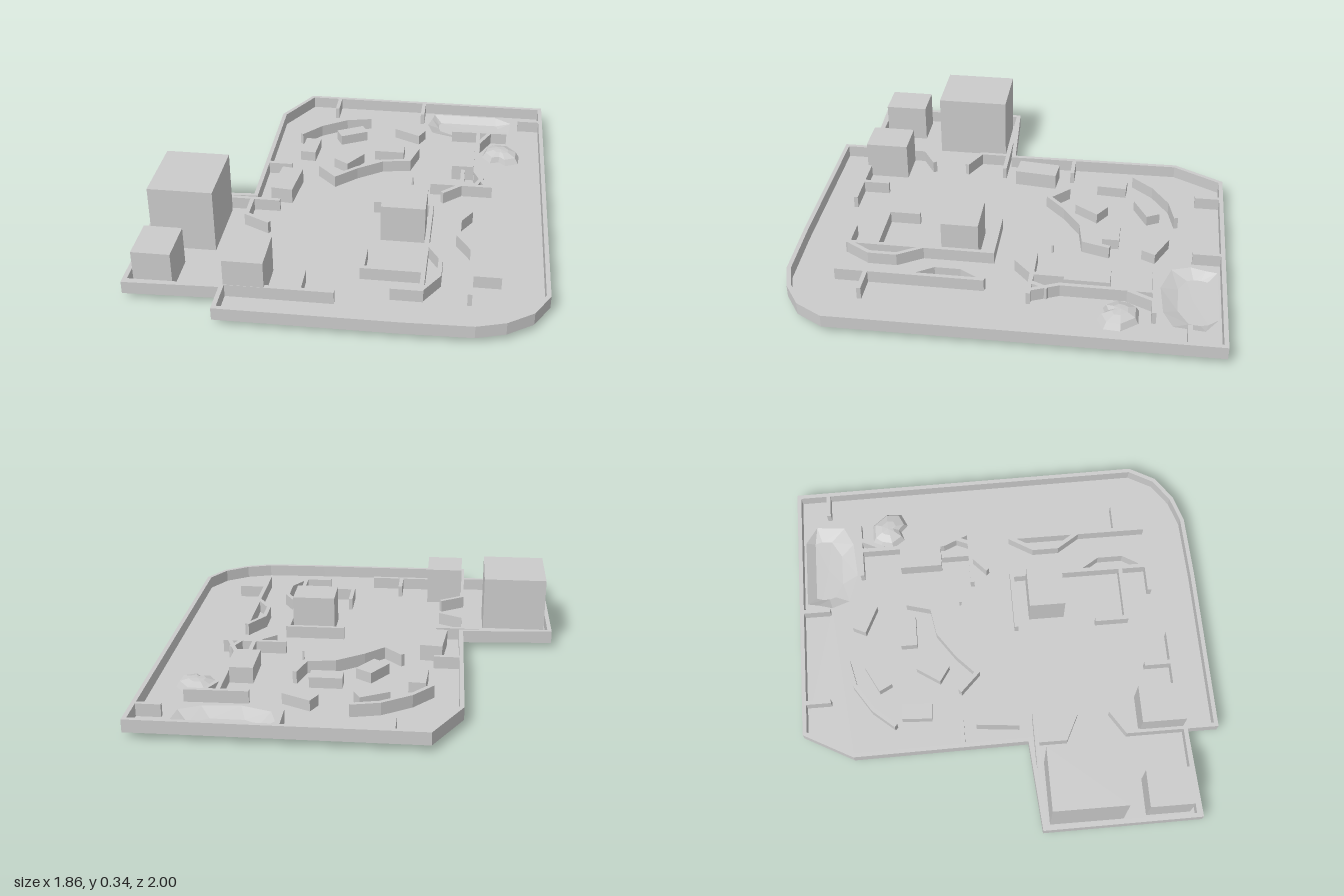
import * as THREE from 'three';

const FLOOR = 0.03, TOP = 0.09, THICK = 0.02;
const mat = new THREE.MeshStandardMaterial({ color: 0xcccccc, flatShading: true });
const sheetMat = new THREE.MeshStandardMaterial({ color: 0xcccccc, flatShading: true, side: THREE.DoubleSide });
const vecs = (pts) => pts.map(([x, z]) => new THREE.Vector2(x, z));

// Shift a plan polyline sideways with mitred corners
function offset(pts, d, closed) {
  const n = pts.length;
  const normal = (i) => {
    const a = pts[(i + n) % n], b = pts[(i + 1) % n];
    return new THREE.Vector2(a.y - b.y, b.x - a.x).normalize();
  };
  return pts.map((p, i) => {
    const n1 = normal(!closed && i === 0 ? 0 : i - 1);
    const n2 = normal(!closed && i === n - 1 ? n - 2 : i);
    return n1.clone().add(n2).multiplyScalar(d / (1 + n1.dot(n2))).add(p);
  });
}

// Raise a plan shape (x, z) from the floor up to the wall top
function raise(shape) {
  const g = new THREE.ExtrudeGeometry(shape, { depth: TOP - FLOOR, bevelEnabled: false });
  return g.rotateX(Math.PI / 2).translate(0, TOP, 0);
}

// Faceted relief: rings of equal point count, closed by a centre point
function relief(rings, centre) {
  const n = rings[0].length, pos = rings.flat(2).concat(centre), index = [];
  const last = rings.length - 1;
  for (let i = 0; i < n; i++) {
    const j = (i + 1) % n;
    for (let r = 0; r < last; r++) {
      const a = r * n + i, b = r * n + j;
      index.push(a, a + n, b, b, a + n, b + n);
    }
    index.push(last * n + i, rings.length * n, last * n + j);
  }
  const g = new THREE.BufferGeometry();
  g.setAttribute('position', new THREE.Float32BufferAttribute(pos, 3));
  g.setIndex(index);
  const flat = g.toNonIndexed();
  flat.computeVertexNormals();
  return flat;
}

export function createModel() {
  const model = new THREE.Group();
  const add = (name, geo, material = mat) => {
    const m = new THREE.Mesh(geo, material);
    m.name = name;
    model.add(m);
    return m;
  };

  // Site plan
  const outline = vecs([
    [-0.38, -1], [0.91, -1], [0.925, 0.74], [0.855, 0.865], [0.74, 0.945], [0.61, 0.985], [0.3, 0.995],
    [-0.5, 1], [-0.5, 0.85], [-0.93, 0.867], [-0.935, 0.11], [-0.5, 0.08], [-0.51, -0.76],
  ]);
  const pitRim = [
    [0.32, -0.968], [0.66, -0.968], [0.745, -0.91], [0.73, -0.77], [0.635, -0.725],
    [0.46, -0.71], [0.32, -0.757], [0.29, -0.845], [0.31, -0.915],
  ];
  const pitFloor = [
    [0.36, -0.925], [0.665, -0.925], [0.675, -0.89], [0.67, -0.84], [0.585, -0.79],
    [0.43, -0.79], [0.36, -0.83], [0.35, -0.86], [0.35, -0.895],
  ];
  const moundRim = [
    [0.64, -0.62], [0.73, -0.62], [0.79, -0.545], [0.785, -0.47], [0.72, -0.44],
    [0.685, -0.475], [0.64, -0.46], [0.597, -0.52], [0.61, -0.58],
  ];

  // Floor with openings for the pit and the mound
  const floorShape = new THREE.Shape(outline);
  floorShape.holes.push(new THREE.Path(vecs(pitRim)), new THREE.Path(vecs(moundRim)));
  add('floor', new THREE.ShapeGeometry(floorShape).rotateX(Math.PI / 2).translate(0, FLOOR, 0), sheetMat);

  const ring = (pts, y) => pts.map(([x, z]) => [x, y, z]);
  add('pit', relief([ring(pitRim, FLOOR), ring(pitFloor, 0.002)], [0.51, 0, -0.86]), sheetMat);

  const shrink = (s) => moundRim.map(([x, z]) => [0.692 + (x - 0.692) * s, -0.54 + (z + 0.54) * s]);
  add('mound', relief([ring(moundRim, FLOOR), ring(shrink(0.82), 0.058), ring(shrink(0.4), 0.072)],
    [0.69, 0.075, -0.54]), sheetMat);

  // Outer wall
  const border = new THREE.Shape(outline);
  border.holes.push(new THREE.Path(offset(outline, THICK, true)));
  add('outerWall', raise(border));

  // Inner walls, each a path in plan
  const walls = [
    // back rooms
    [[-0.22, -0.99], [-0.22, -0.86]],
    [[0.257, -0.99], [0.257, -0.85]],
    [[0.78, -0.84], [0.91, -0.84]],
    [[-0.5, -0.233], [-0.365, -0.233]],
    // curved screens
    [[-0.37, -0.55], [-0.28, -0.655], [-0.15, -0.74], [-0.02, -0.77]],
    [[-0.22, -0.23], [-0.13, -0.14], [-0.035, -0.23], [0.09, -0.317], [0.225, -0.34], [0.26, -0.465]],
    // right-hand partitions
    [[0.43, -0.68], [0.72, -0.685]],
    [[0.57, -0.68], [0.57, -0.26], [0.625, -0.13]],
    [[0.63, -0.68], [0.575, -0.565]],
    [[0.505, -0.275], [0.505, -0.13], [0.412, -0.045]],
    [[0.35, -0.127], [0.655, -0.127]],
    [[0.57, -0.13], [0.605, -0.21]],
    // centre room
    [[0.09, 0.074], [0.37, 0.074], [0.37, 0.76], [0.235, 0.76]],
    [[0.37, 0.4], [0.44, 0.515], [0.44, 0.645], [0.37, 0.76]],
    [[0.097, 0.47], [0.097, 0.625], [0.37, 0.625]],
    // left divider
    [[0.58, 0.08], [0.58, 0.77]],
    [[0.58, 0.08], [0.51, 0.195], [0.51, 0.32], [0.58, 0.43]],
    [[0.58, 0.625], [0.715, 0.625]],
    // annex
    [[-0.93, 0.12], [-0.365, 0.12]],
    [[-0.93, 0.847], [-0.5, 0.84]],
    [[-0.5, 0.12], [-0.5, 0.26], [-0.38, 0.32]],
    [[-0.38, 0.49], [-0.49, 0.56], [-0.49, 0.99]],
    [[-0.49, 0.822], [0, 0.82]],
    [[-0.155, 0.685], [-0.155, 0.82]],
  ];
  for (const path of walls) {
    const p = vecs(path);
    const sides = [...offset(p, THICK / 2, false), ...offset(p, -THICK / 2, false).reverse()];
    add('innerWall', raise(new THREE.Shape(sides)));
  }

  // Blocks: name, x, z, width, depth, top height, turn about y
  const blocks = [
    ['tallBlock', -0.747, 0.322, 0.3, 0.35, 0.34, 0],
    ['block', -0.802, 0.71, 0.175, 0.21, 0.215, 0],
    ['block', -0.395, 0.725, 0.18, 0.21, 0.215, 0],
    ['block', 0.25, 0.23, 0.207, 0.175, 0.215, 0],
    ['lowBlock', 0.503, -0.38, 0.11, 0.207, 0.108, 0],
    ['lowBlock', -0.36, -0.055, 0.106, 0.207, 0.108, -0.1],
    ['smallBlock', -0.106, -0.625, 0.148, 0.07, 0.082, 0.48],
    ['smallBlock', 0.205, -0.677, 0.147, 0.07, 0.082, -0.45],
    ['smallBlock', -0.303, -0.445, 0.078, 0.145, 0.082, -0.06],
    ['smallBlock', -0.087, -0.355, 0.09, 0.135, 0.082, -0.59],
    ['smallBlock', 0.114, -0.465, 0.152, 0.08, 0.082, 0],
    ['peg', 0.257, -0.197, 0.01, 0.01, 0.075, 0],
  ];
  for (const [name, x, z, w, d, top, turn] of blocks) {
    const m = add(name, new THREE.BoxGeometry(w, top - FLOOR, d));
    m.position.set(x, (top + FLOOR) / 2, z);
    m.rotation.y = turn;
  }
  return model;
}
